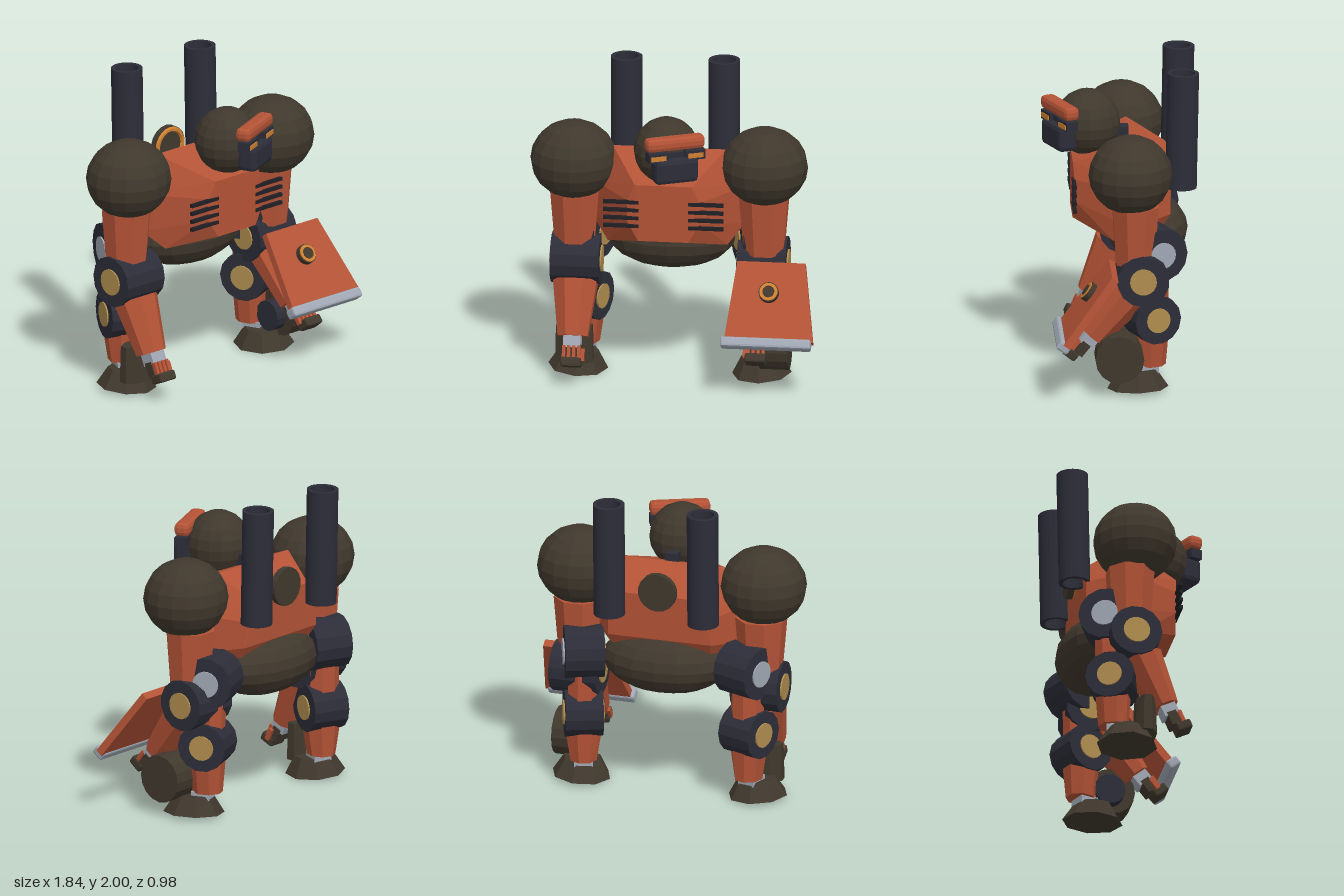
import * as THREE from 'three';
import { RoundedBoxGeometry } from 'three/addons/geometries/RoundedBoxGeometry.js';
import { ConvexGeometry } from 'three/addons/geometries/ConvexGeometry.js';

const colour = (name, hex) => Object.assign(new THREE.MeshStandardMaterial({ color: hex }), { name });

export function createModel() {
  const red = colour('rust red', 0xb45336);
  const brown = colour('dark brown', 0x40382d);
  const navy = colour('dark steel', 0x2c2d38);
  const gold = colour('brass', 0xb08d4f);
  const grey = colour('light steel', 0xa0a8b4);
  const orange = colour('amber', 0xd08030);
  const black = colour('vent black', 0x1f1f25);

  const model = new THREE.Group();
  const body = new THREE.Group();
  body.name = 'body';
  body.position.x = -0.045;
  model.add(body);

  // Faceted mesh placed in a parent
  function add(parent, name, geo, mat, x = 0, y = 0, z = 0) {
    const g = geo.index ? geo.toNonIndexed() : geo;
    g.computeVertexNormals();
    const m = new THREE.Mesh(g, mat);
    m.name = name;
    m.position.set(x, y, z);
    parent.add(m);
    return m;
  }
  function group(parent, name, x, y, z) {
    const g = new THREE.Group();
    g.name = name;
    g.position.set(x, y, z);
    parent.add(g);
    return g;
  }
  const box = (w, h, d) => new THREE.BoxGeometry(w, h, d);
  const bevelBox = (w, h, d, r) => new RoundedBoxGeometry(w, h, d, 1, r);
  const ball = (rx, ry, rz) => new THREE.SphereGeometry(1, 16, 10).scale(rx, ry, rz);
  const discX = (r, len, n) => new THREE.CylinderGeometry(r, r, len, n).rotateZ(Math.PI / 2);
  const discZ = (r, len, n) => new THREE.CylinderGeometry(r, r, len, n).rotateX(Math.PI / 2);
  // Eight-sided block with separate top and bottom sizes
  function taper(topW, topD, botW, botD, h) {
    const r = 1 / Math.cos(Math.PI / 8);
    const g = new THREE.CylinderGeometry(r, r, h, 8, 1).rotateY(Math.PI / 8);
    const p = g.attributes.position;
    for (let i = 0; i < p.count; i++) {
      const top = p.getY(i) > 0;
      p.setX(i, p.getX(i) * (top ? topW : botW) / 2);
      p.setZ(i, p.getZ(i) * (top ? topD : botD) / 2);
    }
    return g;
  }
  // Upright open tube, centred
  function tube(outer, inner, h) {
    const shape = new THREE.Shape().absarc(0, 0, outer, 0, Math.PI * 2, false);
    shape.holes.push(new THREE.Path().absarc(0, 0, inner, 0, Math.PI * 2, true));
    const g = new THREE.ExtrudeGeometry(shape, { depth: h, bevelEnabled: false, curveSegments: 20 });
    return g.translate(0, 0, -h / 2).rotateX(-Math.PI / 2);
  }
  // Drum along x with a cap disc on both ends
  function joint(parent, name, r, len, capR, outerMat, side, y = 0, z = 0) {
    const j = group(parent, name, 0, y, z);
    add(j, name + 'Drum', discX(r, len, 14), navy);
    for (const s of [-1, 1]) {
      add(j, name + 'Cap', discX(capR, 0.012, 18), s === side ? outerMat : gold, s * (len / 2 + 0.004));
    }
  }

  // Torso hull: front plate, wide middle ring, back plate
  const hull = [];
  for (const s of [-1, 1]) {
    for (const [x, y, z] of [
      [0.18, 1.39, 0.3], [0.23, 1.28, 0.29], [0.23, 1.14, 0.29], [0.16, 1.015, 0.3],
      [0.36, 1.52, -0.06], [0.48, 1.28, -0.06], [0.48, 1.03, -0.06], [0.38, 0.92, 0.05],
      [0.25, 1.38, -0.32], [0.34, 1.25, -0.31], [0.34, 1.08, -0.31], [0.3, 0.93, -0.22],
    ]) hull.push(new THREE.Vector3(s * x, y, z));
  }
  add(body, 'torso', new ConvexGeometry(hull), red);
  add(body, 'waist', ball(0.41, 0.21, 0.26), brown, 0, 0.9, -0.175);
  add(body, 'neckLink', box(0.08, 0.08, 0.14), navy, 0, 1.53, 0.01);

  // Rear exhaust disc with amber ring
  add(body, 'backDisc', discZ(0.125, 0.04, 18), brown, 0, 1.42, -0.35);
  add(body, 'backRing', new THREE.TorusGeometry(0.105, 0.016, 6, 20), orange, 0, 1.42, -0.33);

  // Chest vents
  for (const s of [-1, 1]) {
    for (let i = 0; i < 4; i++) {
      add(body, 'chestVent', box(0.225, 0.022, 0.022), black, s * 0.27, 1.273 - i * 0.053, 0.295);
    }
  }

  // Head, turned towards its left
  const head = group(body, 'head', 0.01, 1.6, 0.2);
  head.rotation.y = 0.41;
  add(head, 'skull', ball(0.208, 0.213, 0.208), brown);
  add(head, 'brow', bevelBox(0.385, 0.085, 0.1, 0.028), red, -0.005, 0.115, 0.19);
  add(head, 'jaw', bevelBox(0.285, 0.165, 0.13, 0.03), navy, -0.005, -0.06, 0.195);
  add(head, 'faceBar', box(0.24, 0.04, 0.08), navy, 0, 0.035, 0.17);
  for (const s of [-1, 1]) {
    add(head, 'eyeHousing', box(0.13, 0.062, 0.08), navy, s * 0.12, 0.035, 0.195);
    add(head, 'eye', box(0.1, 0.03, 0.008), orange, s * 0.122, 0.033, 0.237);
  }

  for (const s of [-1, 1]) {
    const left = s > 0;

    // Open back cannons
    add(body, 'cannon', tube(0.1, 0.074, 0.75), navy, s * 0.31, 1.625, -0.385).rotation.x = -0.02;

    // Upper arm
    add(body, 'shoulder', ball(0.275, 0.252, 0.266), brown, s * 0.607, 1.425, -0.045);
    add(body, 'upperArm', taper(0.31, 0.29, 0.25, 0.24, 0.38), red, s * 0.6, 1.03, -0.075);

    // Elbow, forearm and hand, bent forwards; the left bends further
    const arm = group(body, 'forearmGroup', s * 0.59, 0.755, left ? -0.12 : -0.06);
    arm.rotation.x = left ? -0.67 : -0.43;
    joint(arm, 'elbow', 0.165, 0.31, 0.085, gold, s);
    add(arm, 'forearm', taper(0.28, 0.25, 0.19, 0.17, 0.36), red, 0, -0.32, 0);
    add(arm, 'wrist', box(0.11, 0.09, 0.1), grey, 0, -0.53, 0.01);
    const hand = group(arm, 'hand', 0, -0.6, 0.01);
    add(hand, 'palm', box(0.12, 0.09, 0.06), brown);
    add(hand, 'knuckles', bevelBox(0.13, 0.06, 0.1, 0.012), brown, 0, -0.07, 0.04);
    for (let i = 0; i < 4; i++) {
      add(hand, 'finger', box(0.02, 0.09, 0.025), red, -0.048 + i * 0.032, -0.01, 0.05);
    }
    add(hand, 'thumb', box(0.025, 0.08, 0.03), red, -s * 0.07, -0.02, 0.03);

    // Leg, turned outwards
    const leg = group(body, 'leg', s * 0.55, 0, -0.165);
    leg.rotation.y = s * 0.38;
    joint(leg, 'hip', 0.17, 0.25, 0.085, grey, s, 0.9, -0.04);
    add(leg, 'thigh', taper(0.2, 0.2, 0.2, 0.19, 0.34), red, 0, 0.69, -0.02);
    joint(leg, 'knee', 0.157, 0.24, 0.08, gold, s, 0.475, -0.01);
    add(leg, 'shin', taper(0.234, 0.21, 0.165, 0.18, 0.225), red, 0, 0.27, -0.01);
    add(leg, 'ankle', box(0.12, 0.06, 0.12), grey, 0, 0.135, 0.02);
    const foot = add(leg, 'foot', taper(0.23, 0.22, 0.35, 0.36, 0.115), brown, 0, 0.075, 0.08);
    foot.rotation.z = s * 0.07;
  }

  // Round weight beside the left foot, block guard before the right foot
  add(body, 'footDrum', discX(0.154, 0.185, 16), brown, 0.683, 0.25, 0.03);
  add(body, 'footDrumHub', discX(0.1, 0.1, 14), navy, 0.57, 0.235, 0.01);
  add(body, 'footGuard', taper(0.23, 0.12, 0.24, 0.14, 0.24), brown, -0.595, 0.21, 0.02);

  // Sloping shield on the left arm
  const shield = group(model, 'shield', 0.622, 0.6, 0.215);
  shield.rotation.x = -0.64;
  const outline = new THREE.Shape([[-0.27, -0.26], [0.295, -0.26], [0.213, 0.26], [-0.22, 0.26]]
    .map(([x, y]) => new THREE.Vector2(x, y)));
  const plate = new THREE.ExtrudeGeometry(outline, { depth: 0.05, bevelEnabled: false });
  add(shield, 'shieldPlate', plate, red, 0, 0, -0.02);
  add(shield, 'shieldLip', bevelBox(0.575, 0.065, 0.085, 0.015), grey, -0.005, -0.275, 0.015);
  add(shield, 'shieldBoss', discZ(0.064, 0.04, 18), brown, -0.005, 0.055, 0.045);
  add(shield, 'bossRing', discZ(0.058, 0.008, 18), orange, -0.005, 0.055, 0.067);
  add(shield, 'bossCentre', discZ(0.038, 0.008, 18), brown, -0.005, 0.055, 0.072);

  return model;
}
